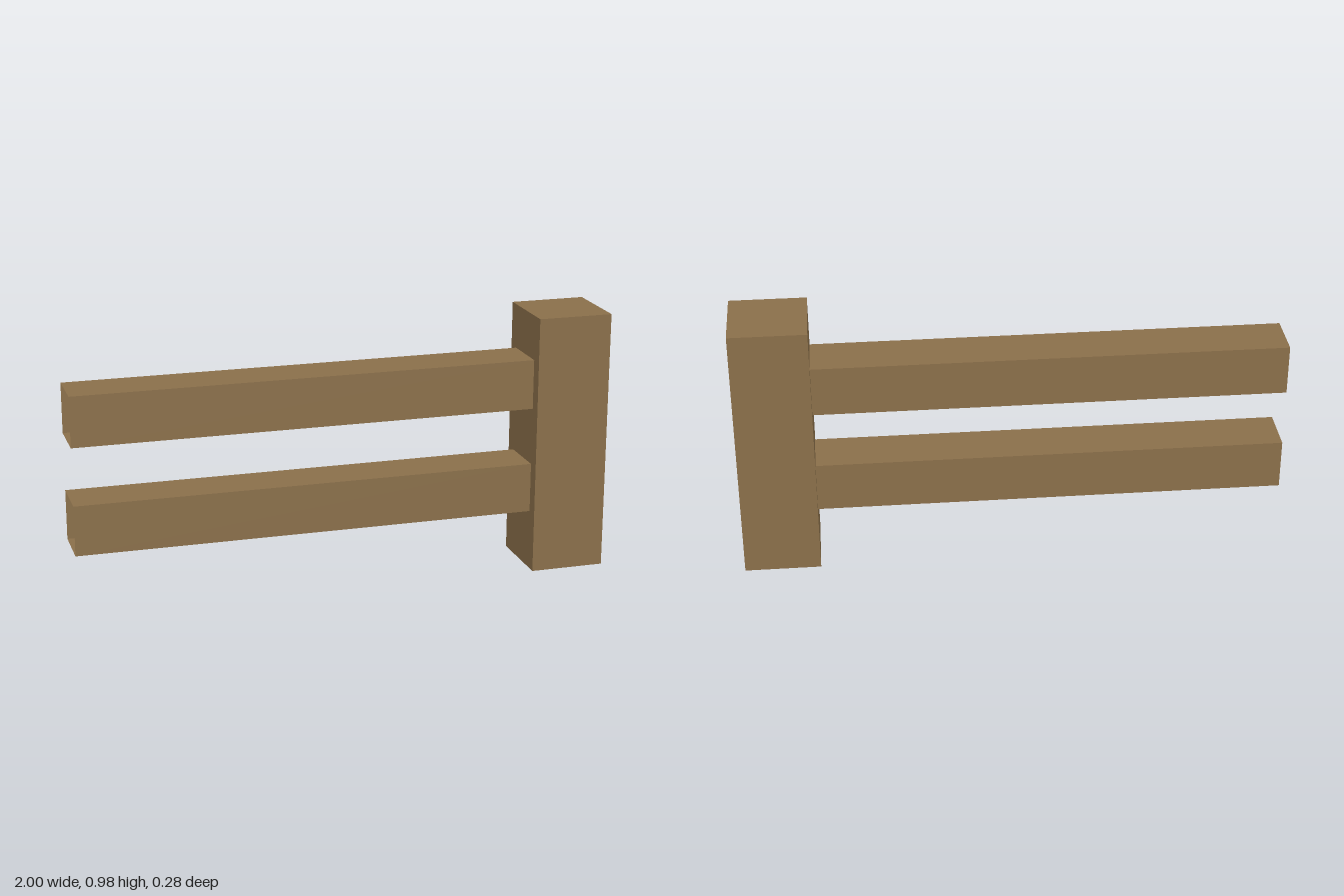
import * as THREE from 'three';

// Box between two corners, leaving out some faces (0 +x, 1 -x, 2 +y, 3 -y, 4 +z, 5 -z)
function openBox(name, min, max, openFaces, material) {
  const size = max.map((v, i) => v - min[i]);
  const geometry = new THREE.BoxGeometry(...size);
  const index = Array.from(geometry.index.array);
  geometry.setIndex(index.filter((_, i) => !openFaces.includes(Math.floor(i / 6))));
  geometry.clearGroups();
  const mesh = new THREE.Mesh(geometry, material);
  mesh.name = name;
  mesh.position.set(...max.map((v, i) => (v + min[i]) / 2));
  return mesh;
}

export function createModel() {
  const group = new THREE.Group();
  group.name = 'fenceSection';
  const wood = new THREE.MeshStandardMaterial({ color: 0x8a6f4a, side: THREE.DoubleSide });
  wood.name = 'brown wood';

  // Hollow post, open underneath
  group.add(openBox('post', [0.72, 0, -0.14], [1, 0.98, 0.14], [3], wood));

  // Two hollow rails, open at their ends
  [['lowerRail', 0.225], ['upperRail', 0.627]].forEach(([name, y]) => {
    group.add(openBox(name, [-1, y, -0.093], [0.72, y + 0.187, 0.093], [0, 1], wood));
  });
  return group;
}
